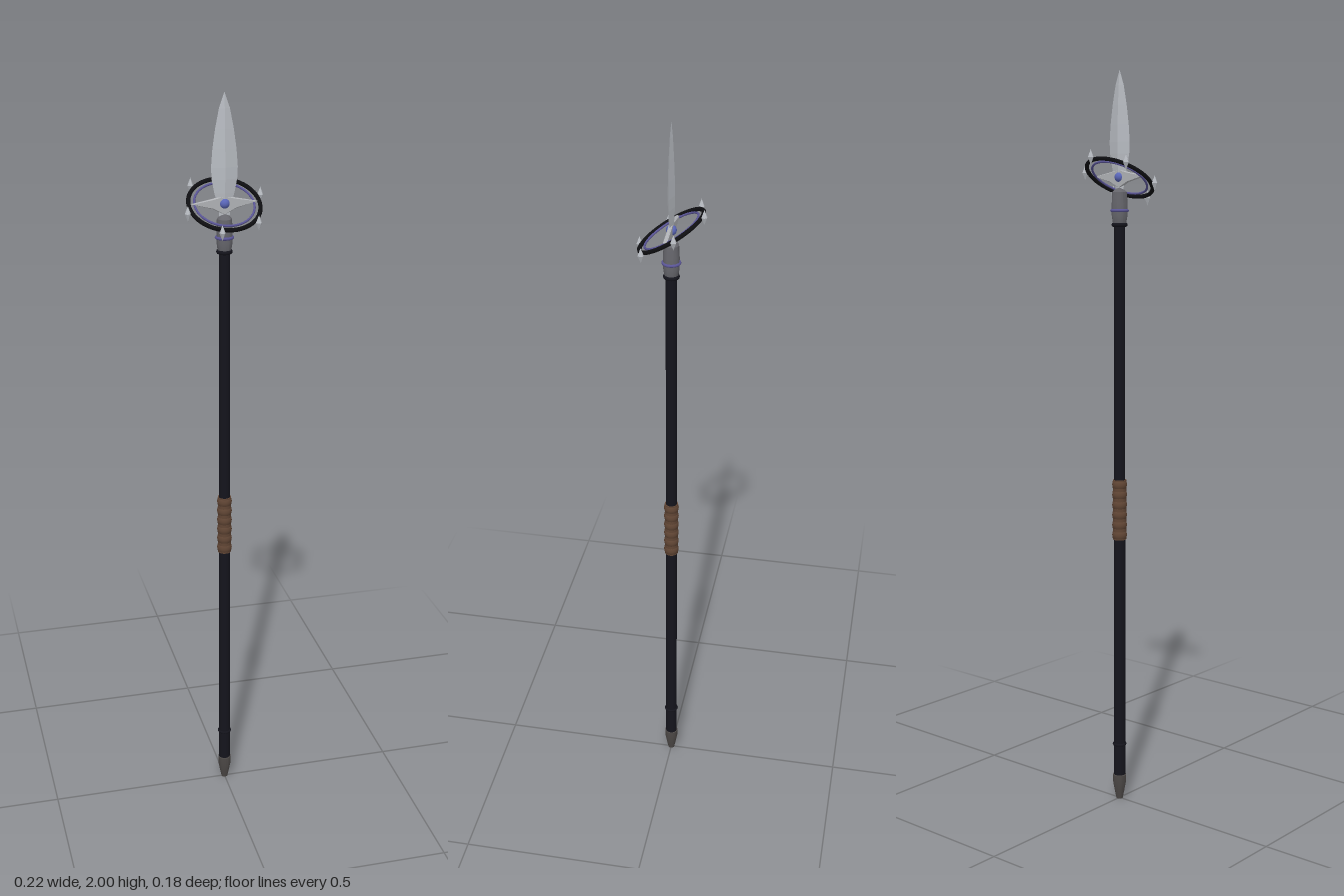
import * as THREE from 'three';
import { toCreasedNormals } from 'three/addons/utils/BufferGeometryUtils.js';

const mat = (color, flatShading = false) => new THREE.MeshStandardMaterial({ color, flatShading });
const black = mat(0x14141c), ringBlack = mat(0x0e0e11), steel = mat(0xb8bcc2, true), iron = mat(0x66666c);
const violet = mat(0x5a5596), leather = mat(0x604534), gemBlue = mat(0x5a66b8), buttIron = mat(0x4c4846);
const pale = mat(0xb0b2b6);

function add(parent, name, geometry, material, x = 0, y = 0, z = 0) {
  const mesh = new THREE.Mesh(geometry, material);
  mesh.name = name;
  mesh.position.set(x, y, z);
  parent.add(mesh);
  return mesh;
}

// Turned part from [radius, y] pairs, with hard edges kept sharp
function turned(points, sides = 16) {
  const lathe = new THREE.LatheGeometry(points.map(([r, y]) => new THREE.Vector2(r, y)), sides);
  return toCreasedNormals(lathe, 0.6);
}

const flatTorus = (radius, tube, sides = 8, steps = 24) =>
  new THREE.TorusGeometry(radius, tube, sides, steps).rotateX(Math.PI / 2);

export function createModel() {
  const spear = new THREE.Group();
  spear.name = 'spear';

  // Shaft, narrowing slightly to the top
  add(spear, 'shaft', new THREE.CylinderGeometry(0.0145, 0.0165, 1.56, 16), black, 0, 0.83, 0);
  add(spear, 'lowerBand', flatTorus(0.0155, 0.004), black, 0, 0.16, 0);
  add(spear, 'upperBand', flatTorus(0.0155, 0.006), black, 0, 1.6, 0);

  // Butt cap
  add(spear, 'buttCap', turned([[0, 0], [0.009, 0], [0.0135, 0.022], [0.0185, 0.05], [0.0185, 0.07], [0.015, 0.072]]), buttIron);

  // Leather grip with wrapped ridges
  const grip = new THREE.Group();
  grip.name = 'grip';
  spear.add(grip);
  add(grip, 'gripCore', new THREE.CylinderGeometry(0.0185, 0.0185, 0.166, 16), leather, 0, 0.83, 0);
  for (let i = 0; i < 6; i++) {
    const wrap = flatTorus(0.0145, 0.006).scale(1, 2.2, 1);
    add(grip, 'gripWrap', wrap, leather, 0, 0.76 + i * 0.028, 0);
  }

  // Socket holding the head
  add(spear, 'socket', turned([[0.015, 1.595], [0.018, 1.605], [0.021, 1.625], [0.021, 1.655],
    [0.0195, 1.685], [0.013, 1.692], [0, 1.698]]), iron);
  add(spear, 'socketRing', flatTorus(0.021, 0.004), violet, 0, 1.637, 0);

  // Leaf blade: four-sided diamond section, flattened
  const leaf = [[0, 1.675], [0.013, 1.685], [0.016, 1.715], [0.026, 1.75], [0.033, 1.785], [0.0345, 1.815],
    [0.031, 1.86], [0.024, 1.91], [0.014, 1.96], [0, 2]].map(([r, y]) => new THREE.Vector2(r, y));
  add(spear, 'blade', new THREE.LatheGeometry(leaf, 4).scale(1, 1, 0.27), steel);

  // Pointed side wings
  for (const side of [1, -1]) {
    const shape = new THREE.Shape([[0, -0.027], [side * 0.03, -0.011], [side * 0.083, 0.002],
      [side * 0.03, 0.011], [0, 0.018]].map(([x, y]) => new THREE.Vector2(x, y)));
    const wing = new THREE.ExtrudeGeometry(shape, {
      depth: 0.004, bevelThickness: 0.003, bevelSize: 0.002, bevelSegments: 1,
    });
    add(spear, side > 0 ? 'leftWing' : 'rightWing', wing, pale, 0, 1.724, -0.002);
  }

  // Gem seen on both faces of the blade
  add(spear, 'gem', new THREE.SphereGeometry(0.0135, 16, 12), gemBlue, 0, 1.724, 0);

  // Tilted double ring
  const tilt = 0.55;
  const rings = new THREE.Group();
  rings.name = 'tiltedRings';
  rings.position.y = 1.722;
  spear.add(rings);
  add(rings, 'outerRing', flatTorus(0.092, 0.0055, 8, 48), ringBlack).rotation.x = tilt;
  add(rings, 'innerRing', flatTorus(0.077, 0.003, 8, 48), violet).rotation.x = tilt;

  // Six upright crystals around the rim
  for (let i = 0; i < 6; i++) {
    const a = -0.27 + i * Math.PI / 3;
    const at = new THREE.Vector3(Math.cos(a), 0, Math.sin(a)).multiplyScalar(0.1035)
      .applyAxisAngle(new THREE.Vector3(1, 0, 0), tilt);
    const crystal = new THREE.SphereGeometry(0.008, 6, 2).scale(1, 2.5, 1);
    add(rings, 'rimCrystal', crystal, steel, at.x, at.y, at.z);
  }
  return spear;
}
